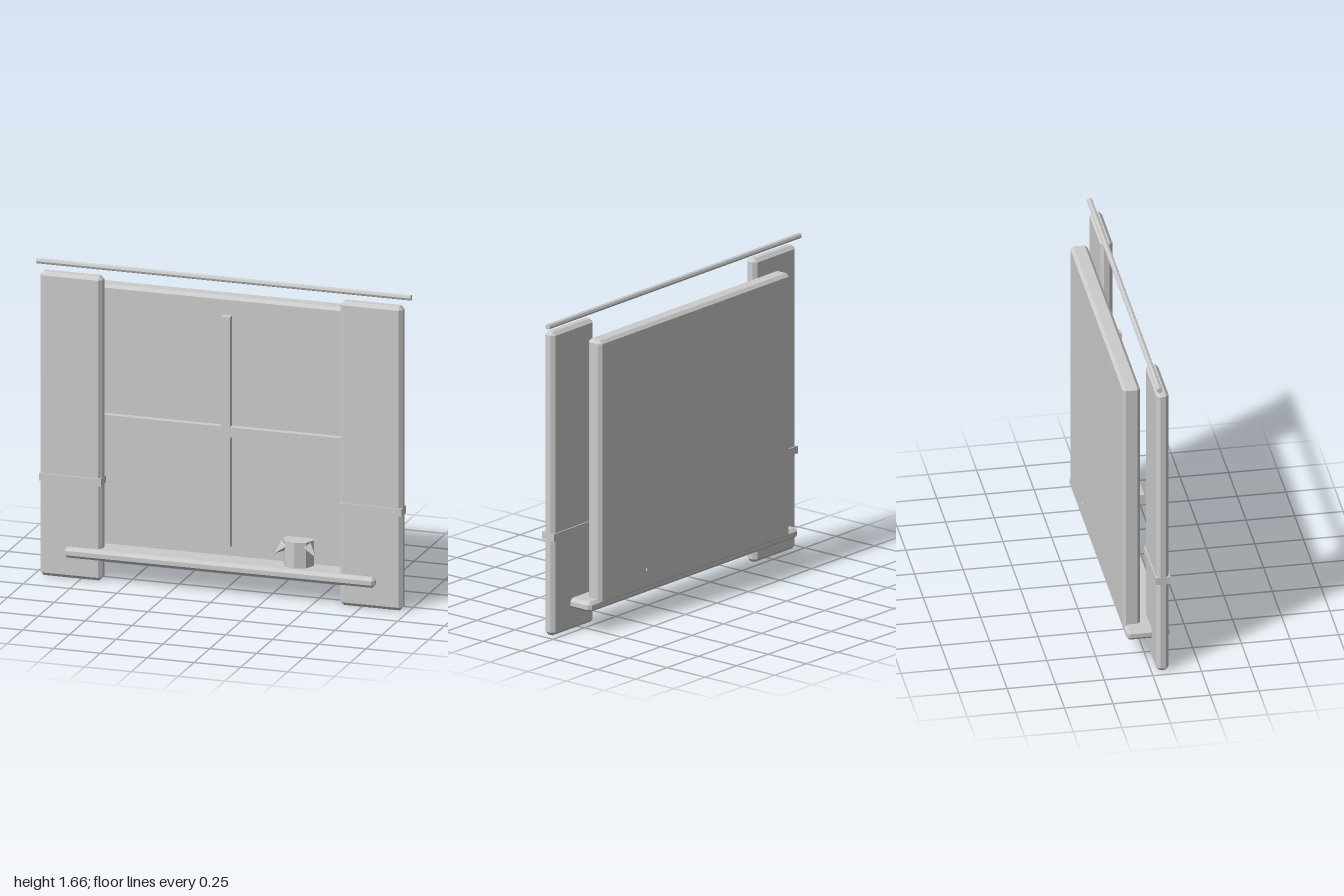
import * as THREE from 'three';
import { ConvexGeometry } from 'three/addons/geometries/ConvexGeometry.js';

const material = new THREE.MeshStandardMaterial({ color: 0xcccccc, flatShading: true });

// Box given by its limits, with every edge chamfered by c
function chamferBox([x0, x1], [y0, y1], [z0, z1], c) {
  const h = [(x1 - x0) / 2, (y1 - y0) / 2, (z1 - z0) / 2];
  const points = [];
  for (const sx of [-1, 1]) for (const sy of [-1, 1]) for (const sz of [-1, 1]) {
    for (let axis = 0; axis < 3; axis++) {
      const p = h.map((v, i) => (i === axis ? v : v - c));
      points.push(new THREE.Vector3(p[0] * sx, p[1] * sy, p[2] * sz));
    }
  }
  return new ConvexGeometry(points).translate((x0 + x1) / 2, (y0 + y1) / 2, (z0 + z1) / 2);
}

function plainBox([x0, x1], [y0, y1], [z0, z1]) {
  return new THREE.BoxGeometry(x1 - x0, y1 - y0, z1 - z0)
    .translate((x0 + x1) / 2, (y0 + y1) / 2, (z0 + z1) / 2);
}

function add(parent, name, geometry) {
  const mesh = new THREE.Mesh(geometry, material);
  mesh.name = name;
  parent.add(mesh);
  return mesh;
}

export function createModel() {
  const model = new THREE.Group();
  model.name = 'curtainedWindow';

  // Window panel with crossing glazing bars
  add(model, 'windowPanel', chamferBox([-0.755, 0.755], [0.14, 1.54], [-0.11, -0.02], 0.016));
  add(model, 'verticalBar', plainBox([-0.025, 0.025], [0.225, 1.445], [-0.03, 0.018]));
  add(model, 'horizontalBar', plainBox([-0.665, 0.665], [0.808, 0.862], [-0.03, 0.017]));

  // Sill
  add(model, 'sill', chamferBox([-0.83, 0.83], [0.115, 0.17], [-0.102, 0.12], 0.016));

  // Curtain rod
  add(model, 'curtainRod', new THREE.CylinderGeometry(0.015, 0.015, 2, 8)
    .rotateZ(Math.PI / 2).translate(0, 1.65, 0.035));

  // Curtains with tie bands
  for (const [side, x] of [['left', 0.802], ['right', -0.802]]) {
    const span = [x - 0.166, x + 0.166];
    add(model, side + 'Curtain', chamferBox(span, [0, 1.61], [0.026, 0.09], 0.018));
    add(model, side + 'TieBand', plainBox(span, [0.505, 0.545], [0.02, 0.097]));
  }

  // Potted plant: octagonal pot with three drooping pointed leaves
  const plant = new THREE.Group();
  plant.name = 'pottedPlant';
  plant.position.set(0.391, 0, 0.007);
  add(plant, 'pot', new THREE.CylinderGeometry(0.08, 0.08, 0.145, 8).translate(0, 0.2325, 0));
  const base = new THREE.Vector3(0, 0.28, 0.07);
  const tip = new THREE.Vector3(0, 0.235, 0.127);
  const axis = tip.clone().sub(base);
  const turn = new THREE.Quaternion().setFromUnitVectors(
    new THREE.Vector3(0, 1, 0), axis.clone().normalize());
  for (let i = 0; i < 3; i++) {
    const leaf = new THREE.ConeGeometry(0.032, axis.length(), 4)
      .translate(0, axis.length() / 2, 0)
      .applyQuaternion(turn)
      .translate(base.x, base.y, base.z)
      .rotateY(Math.PI / 3 + i * Math.PI * 2 / 3);
    add(plant, 'leaf', leaf);
  }
  model.add(plant);
  return model;
}
